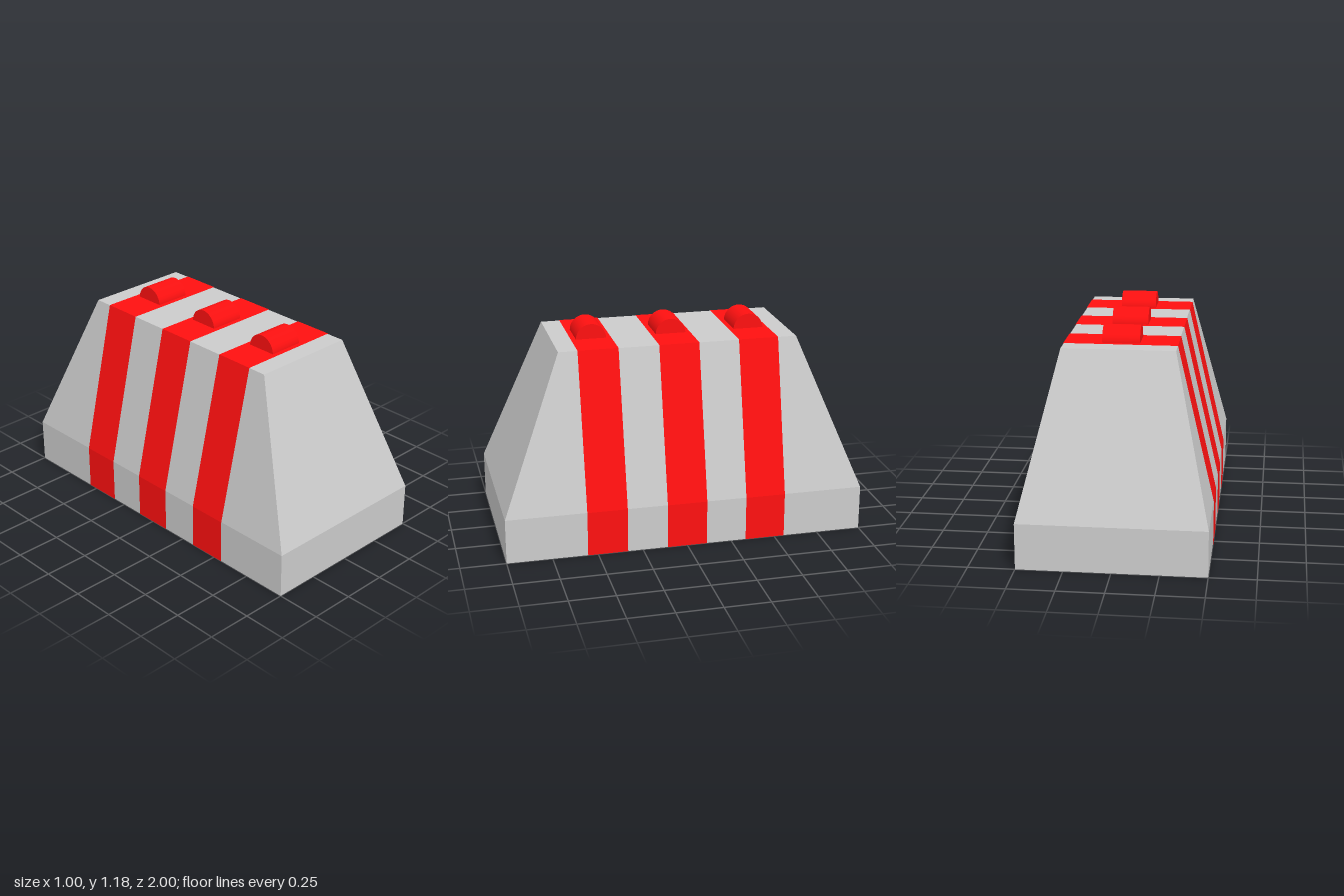
import * as THREE from 'three';

const BASE_Y = 0.25, TOP_Y = 1.1;
const GREY = 0xcccccc, RED = 0xff1010;

// Block with a straight plinth and tapered upper part
function bodyGeometry() {
  const geo = new THREE.BoxGeometry(1, 2, 2, 1, 2, 1);
  const p = geo.attributes.position;
  for (let i = 0; i < p.count; i++) {
    const level = Math.round(p.getY(i)) + 1;
    p.setY(i, [0, BASE_Y, TOP_Y][level]);
    if (level === 2) {
      p.setX(i, p.getX(i) * 0.6);
      p.setZ(i, p.getZ(i) * 0.66);
    }
  }
  const flat = geo.toNonIndexed();
  flat.computeVertexNormals();
  return flat;
}

// Painted band that follows the sides and top of the block
function bandGeometry(width) {
  const e = 0.002, h = width / 2;
  const profile = [
    [-0.5 - e, 0], [-0.5 - e, BASE_Y], [-0.3 - e, TOP_Y + e],
    [0.3 + e, TOP_Y + e], [0.5 + e, BASE_Y], [0.5 + e, 0],
  ];
  const pos = [];
  for (let i = 0; i < profile.length - 1; i++) {
    const p = profile[i], q = profile[i + 1];
    pos.push(...p, h, ...q, h, ...q, -h, ...p, h, ...q, -h, ...p, -h);
  }
  const geo = new THREE.BufferGeometry();
  geo.setAttribute('position', new THREE.Float32BufferAttribute(pos, 3));
  geo.computeVertexNormals();
  return geo;
}

export function createModel() {
  const model = new THREE.Group();
  const add = (name, geo, mat, y = 0, z = 0) => {
    const mesh = new THREE.Mesh(geo, mat);
    mesh.name = name;
    mesh.position.set(0, y, z);
    model.add(mesh);
  };

  const grey = new THREE.MeshStandardMaterial({ color: GREY, flatShading: true });
  const red = new THREE.MeshStandardMaterial({ color: RED });
  const redBand = new THREE.MeshStandardMaterial({ color: RED, side: THREE.DoubleSide });

  add('body', bodyGeometry(), grey);

  // Half-cylinder lugs lying across the top, one per band
  const band = bandGeometry(0.222);
  const lug = new THREE.CylinderGeometry(0.084, 0.084, 0.2, 24, 1, false, 0, Math.PI);
  lug.rotateZ(Math.PI / 2);
  [['front', 0.445], ['middle', 0], ['back', -0.445]].forEach(([place, z]) => {
    add(place + 'Stripe', band, redBand, 0, z);
    add(place + 'Lug', lug, red, TOP_Y, z);
  });
  return model;
}
